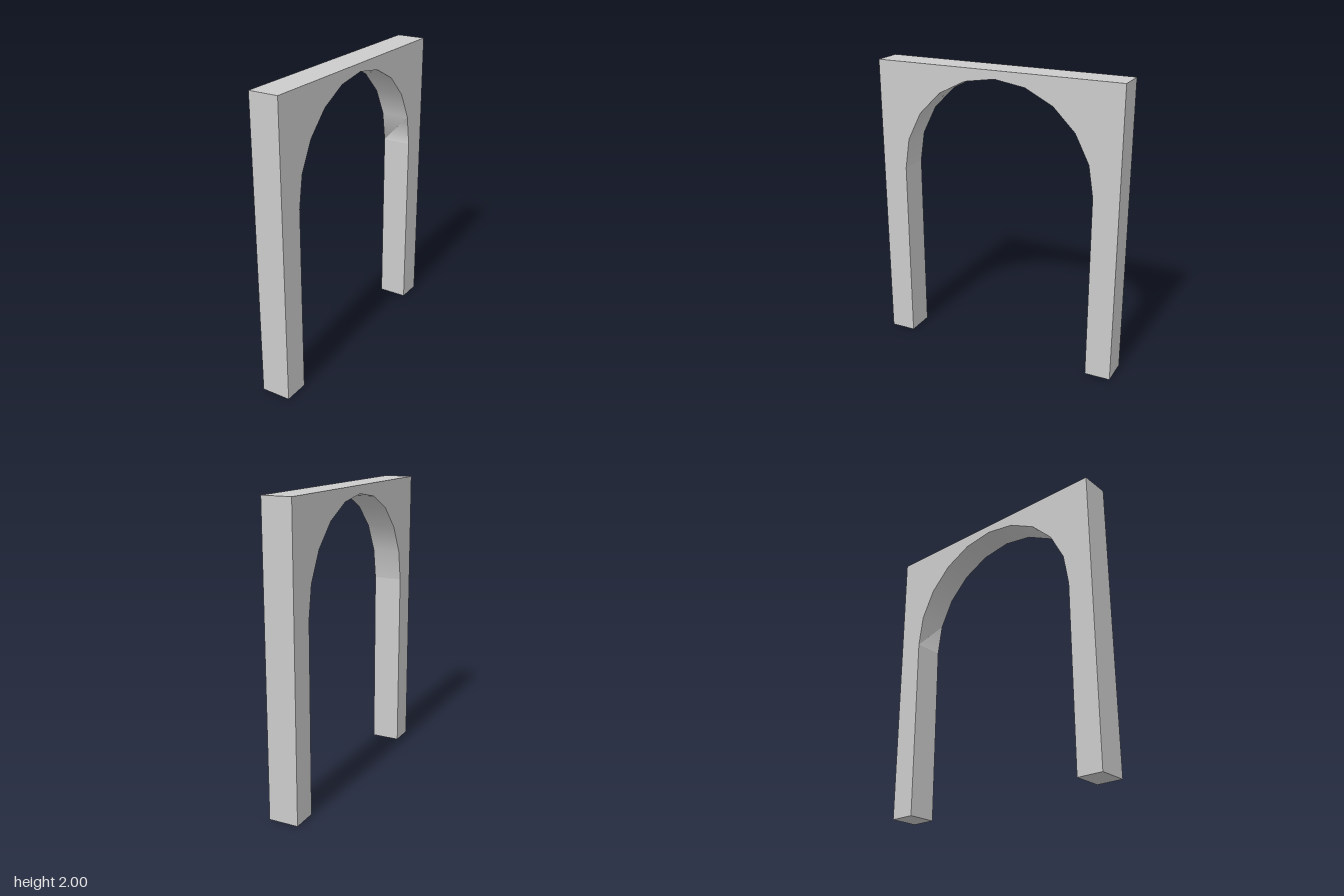
import * as THREE from 'three';

const HALF_WIDTH = 0.855, HEIGHT = 2, DEPTH = 0.2;
const RADIUS = 0.68, SPRING = 1.265, SEGMENTS = 10;

// Outline of the wall with the round-headed opening cut up from the ground
function archOutline() {
  const points = [
    new THREE.Vector2(-RADIUS, 0),
    new THREE.Vector2(-HALF_WIDTH, 0),
    new THREE.Vector2(-HALF_WIDTH, HEIGHT),
    new THREE.Vector2(HALF_WIDTH, HEIGHT),
    new THREE.Vector2(HALF_WIDTH, 0),
    new THREE.Vector2(RADIUS, 0),
  ];
  for (let i = 0; i <= SEGMENTS; i++) {
    const a = (i / SEGMENTS) * Math.PI;
    points.push(new THREE.Vector2(RADIUS * Math.cos(a), SPRING + RADIUS * Math.sin(a)));
  }
  return new THREE.Shape(points);
}

// Smooth the curved underside only; legs, faces and top stay flat
function smoothUnderside(geometry) {
  const { position, normal } = geometry.attributes;
  const halfStep = Math.PI / SEGMENTS / 2;
  for (let i = 0; i < position.count; i++) {
    if (normal.getY(i) > -0.05 || position.getY(i) < SPRING - 0.01) continue;
    const angle = Math.atan2(position.getY(i) - SPRING, position.getX(i));
    const a = THREE.MathUtils.clamp(angle, halfStep, Math.PI - halfStep);
    normal.setXYZ(i, -Math.cos(a), -Math.sin(a), 0);
  }
}

export function createModel() {
  const group = new THREE.Group();
  group.name = 'archway';

  const geometry = new THREE.ExtrudeGeometry(archOutline(), { depth: DEPTH, bevelEnabled: false });
  smoothUnderside(geometry);
  geometry.translate(0, 0, -DEPTH / 2);
  geometry.rotateY(-Math.PI / 2); // the wall spans z

  const arch = new THREE.Mesh(geometry, new THREE.MeshStandardMaterial({ color: 0xcccccc }));
  arch.name = 'arch';
  group.add(arch);
  return group;
}
